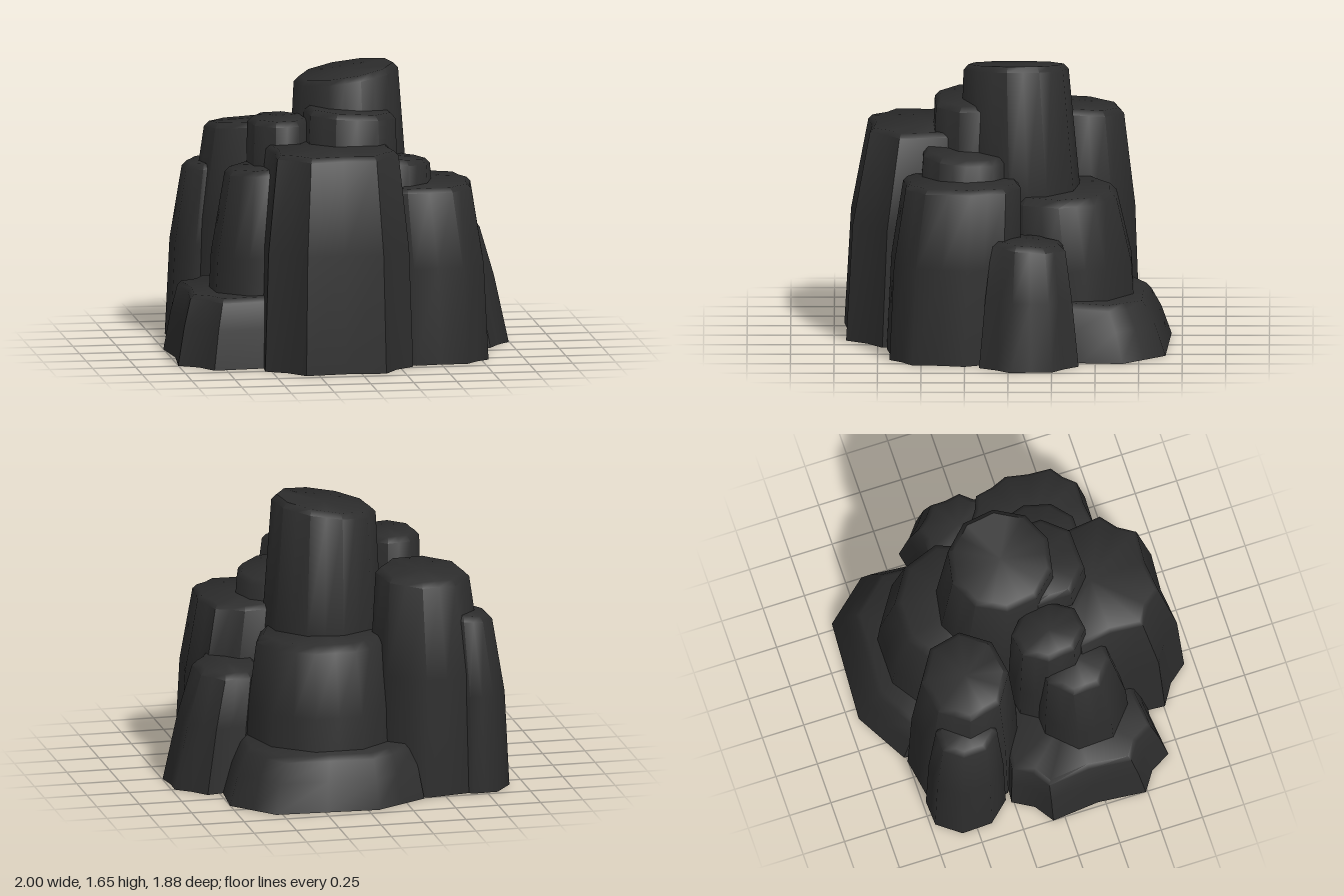
import * as THREE from 'three';
import { toCreasedNormals } from 'three/addons/utils/BufferGeometryUtils.js';

const stone = new THREE.MeshStandardMaterial({ color: 0x2c2c2c, side: THREE.DoubleSide });
stone.name = 'darkStone';

// Signed power: below 1 it turns an ellipse into a boxier outline.
const bend = (v, power) => Math.sign(v) * Math.abs(v) ** power;

// One rock column, open underneath: ground ring, waist, rim, bevelled top.
// at, size: centre and half widths of the rim; flare and shift give the ground ring;
// slope tilts the top along x and z; turn is in degrees;
// scallop draws the middle of each side inwards.
function column(name, { at, size, h, flare, shift = [0, 0], slope = [0, 0],
  corners = 8, turn = 0, boxy = 1, scallop = 0, bevel = 0.03 }) {
  const waist = h > 0.8 ? 0.28 : 0.5;
  const n = corners * 2;
  const pos = [], index = [];

  const corner = (k) => {
    const a = THREE.MathUtils.degToRad(turn - (k * 360) / corners);
    return new THREE.Vector2(size[0] * bend(Math.cos(a), boxy), size[1] * bend(Math.sin(a), boxy));
  };
  const outline = [];
  for (let k = 0; k < corners; k++) {
    outline.push(corner(k), corner(k).lerp(corner(k + 1), 0.5).multiplyScalar(1 - scallop));
  }

  for (let ring = 0; ring < 4; ring++) {
    for (const p of outline) {
      const top = h + slope[0] * p.x + slope[1] * p.y;
      // Ring scale, share of the ground shift, and height
      const [scale, lean, y] = [
        [flare, 1, 0],
        [flare + (1 - flare) * waist, 1 - waist, top * 0.55],
        [1, 0, top - bevel],
        [1 - bevel / p.length(), 0, top],
      ][ring];
      pos.push(at[0] + p.x * scale + shift[0] * lean, y, at[1] + p.y * scale + shift[1] * lean);
    }
  }
  pos.push(at[0], h, at[1]);

  for (let i = 0; i < n; i++) {
    const j = (i + 1) % n;
    for (let r = 0; r < 3; r++) {
      const a = r * n + i, b = r * n + j;
      index.push(a, b, b + n, a, b + n, a + n);
    }
    index.push(3 * n + i, 3 * n + j, 4 * n);
  }
  const geo = new THREE.BufferGeometry();
  geo.setAttribute('position', new THREE.Float32BufferAttribute(pos, 3));
  geo.setIndex(index);
  const mesh = new THREE.Mesh(toCreasedNormals(geo, 0.9), stone);
  mesh.name = name;
  return mesh;
}

export function createModel() {
  const group = new THREE.Group();
  group.name = 'columnRock';
  const add = (name, options) => group.add(column(name, options));

  // Tall columns in the middle
  add('centralTower', { at: [0.055, -0.045], size: [0.3, 0.305], h: 1.61, flare: 1.2,
    shift: [0.02, -0.03], slope: [0.14, 0], corners: 10, turn: 10 });
  add('innerFrontColumn', { at: [0.04, 0.165], size: [0.265, 0.27], h: 1.42, flare: 1.15,
    slope: [-0.06, 0], turn: 20, boxy: 0.8 });
  add('innerRightSideColumn', { at: [-0.36, 0.11], size: [0.18, 0.215], h: 1.37, flare: 1.1, turn: 15 });
  add('innerLeftSideColumn', { at: [0.265, 0.24], size: [0.235, 0.26], h: 1.15, flare: 1.18,
    slope: [-0.08, 0.06], corners: 10 });

  // Outer columns around the front
  add('frontColumn', { at: [-0.1, 0.45], size: [0.375, 0.37], h: 1.24, flare: 1.22,
    shift: [-0.01, 0.06], turn: 20, boxy: 0.7, scallop: 0.05, bevel: 0.025 });
  add('frontLeftColumn', { at: [0.42, 0.265], size: [0.32, 0.345], h: 1.01, flare: 1.13,
    shift: [0.05, 0.05], corners: 10, turn: -5, boxy: 0.75, scallop: 0.03, bevel: 0.025 });
  add('frontRightColumn', { at: [-0.47, 0.23], size: [0.225, 0.21], h: 1.11, flare: 1.38,
    shift: [-0.03, 0.03], slope: [0.05, 0], turn: 20 });
  add('leftColumn', { at: [0.64, -0.11], size: [0.2, 0.23], h: 0.7, flare: 1.35,
    shift: [0.1, 0], slope: [0, 0.08], turn: 18, scallop: 0.04 });

  // Columns around the back
  add('backColumn', { at: [0.12, -0.29], size: [0.39, 0.35], h: 0.9, flare: 1.2,
    shift: [0, -0.05], corners: 10, bevel: 0.04 });
  add('backRightColumn', { at: [-0.44, -0.42], size: [0.27, 0.25], h: 1.27, flare: 1.28,
    shift: [-0.03, -0.02], slope: [0.04, 0.08], turn: 12 });
  add('smallBackRightColumn', { at: [-0.68, -0.49], size: [0.15, 0.18], h: 1.03, flare: 1.3,
    shift: [-0.05, -0.02], slope: [0.1, 0], turn: 20 });

  // Low ledges
  add('backLedge', { at: [0.14, -0.42], size: [0.51, 0.41], h: 0.32, flare: 1.17,
    shift: [0.03, -0.05], slope: [0, 0.05], turn: 30, boxy: 0.7 });
  add('rightLedge', { at: [-0.53, 0.18], size: [0.41, 0.44], h: 0.4, flare: 1.13,
    shift: [-0.03, 0.03], turn: 22.5, boxy: 0.6, scallop: 0.06, bevel: 0.025 });
  return group;
}
